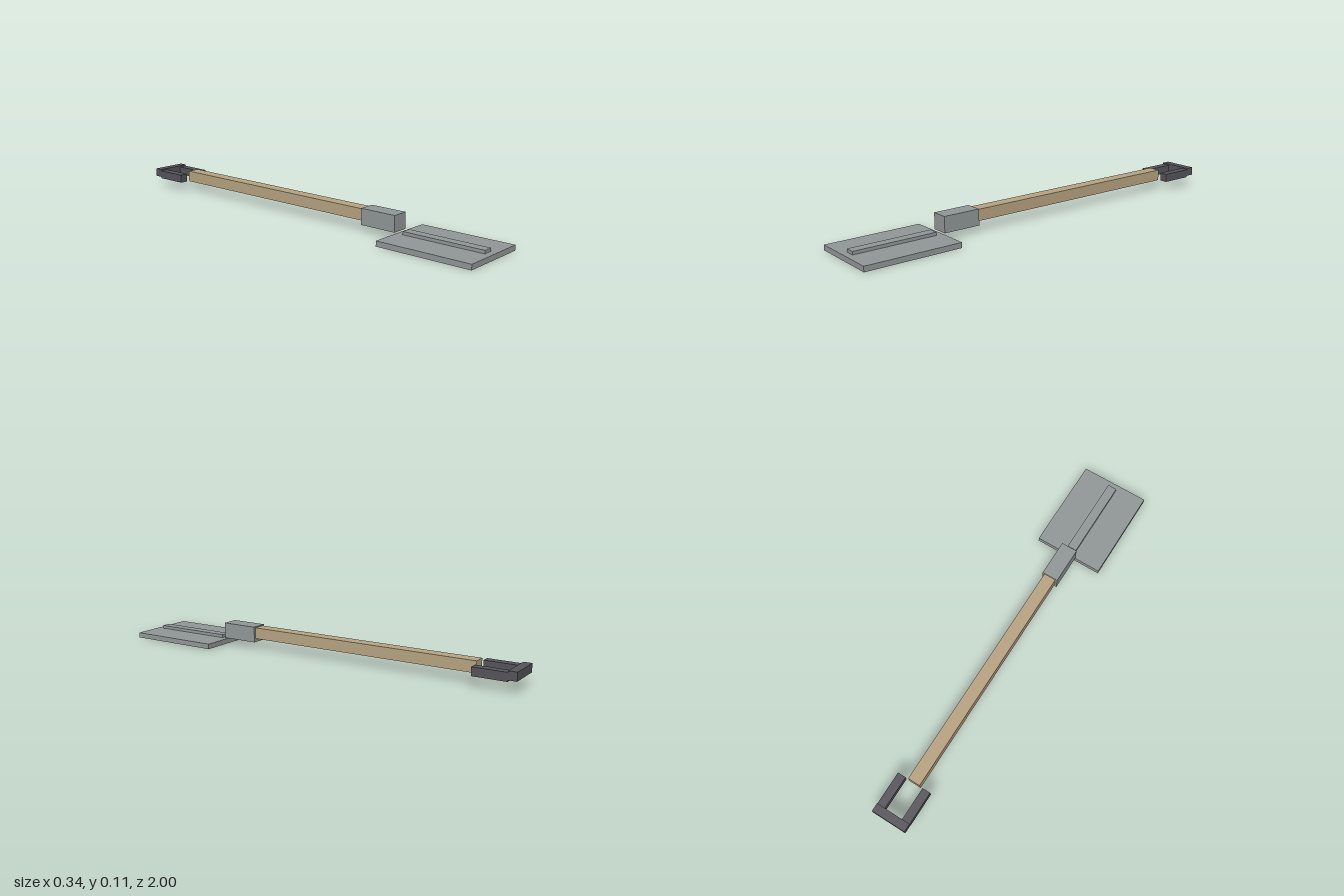
import * as THREE from 'three';

const material = (name, color) => {
  const m = new THREE.MeshStandardMaterial({ color });
  m.name = name;
  return m;
};

// Box given by its extents on each axis
function box(name, mat, [x0, x1], [y0, y1], [z0, z1]) {
  const mesh = new THREE.Mesh(new THREE.BoxGeometry(x1 - x0, y1 - y0, z1 - z0), mat);
  mesh.position.set((x0 + x1) / 2, (y0 + y1) / 2, (z0 + z1) / 2);
  mesh.name = name;
  return mesh;
}

export function createModel() {
  const steel = material('steel', 0x929898);
  const wood = material('wood', 0xb8a482);
  const grip = material('dark grip', 0x56555b);

  const shovel = new THREE.Group();
  shovel.name = 'shovel';

  // Flat blade with a raised centre rib
  shovel.add(
    box('blade', steel, [-0.169, 0.169], [0, 0.025], [0.538, 1]),
    box('bladeRib', steel, [-0.023, 0.023], [0.025, 0.04], [0.57, 0.97]),
  );

  // Socket and shaft
  shovel.add(
    box('socket', steel, [-0.04, 0.04], [0.032, 0.108], [0.356, 0.538]),
    box('shaft', wood, [-0.03, 0.03], [0.049, 0.103], [-0.8, 0.356]),
  );

  // Open handle: two arms and a slightly raised crossbar
  const handle = new THREE.Group();
  handle.name = 'handle';
  handle.add(
    box('leftArm', grip, [0.045, 0.085], [0.05, 0.09], [-0.96, -0.8]),
    box('rightArm', grip, [-0.085, -0.045], [0.05, 0.09], [-0.96, -0.8]),
    box('crossbar', grip, [-0.085, 0.085], [0.057, 0.097], [-1, -0.96]),
  );
  shovel.add(handle);

  return shovel;
}
